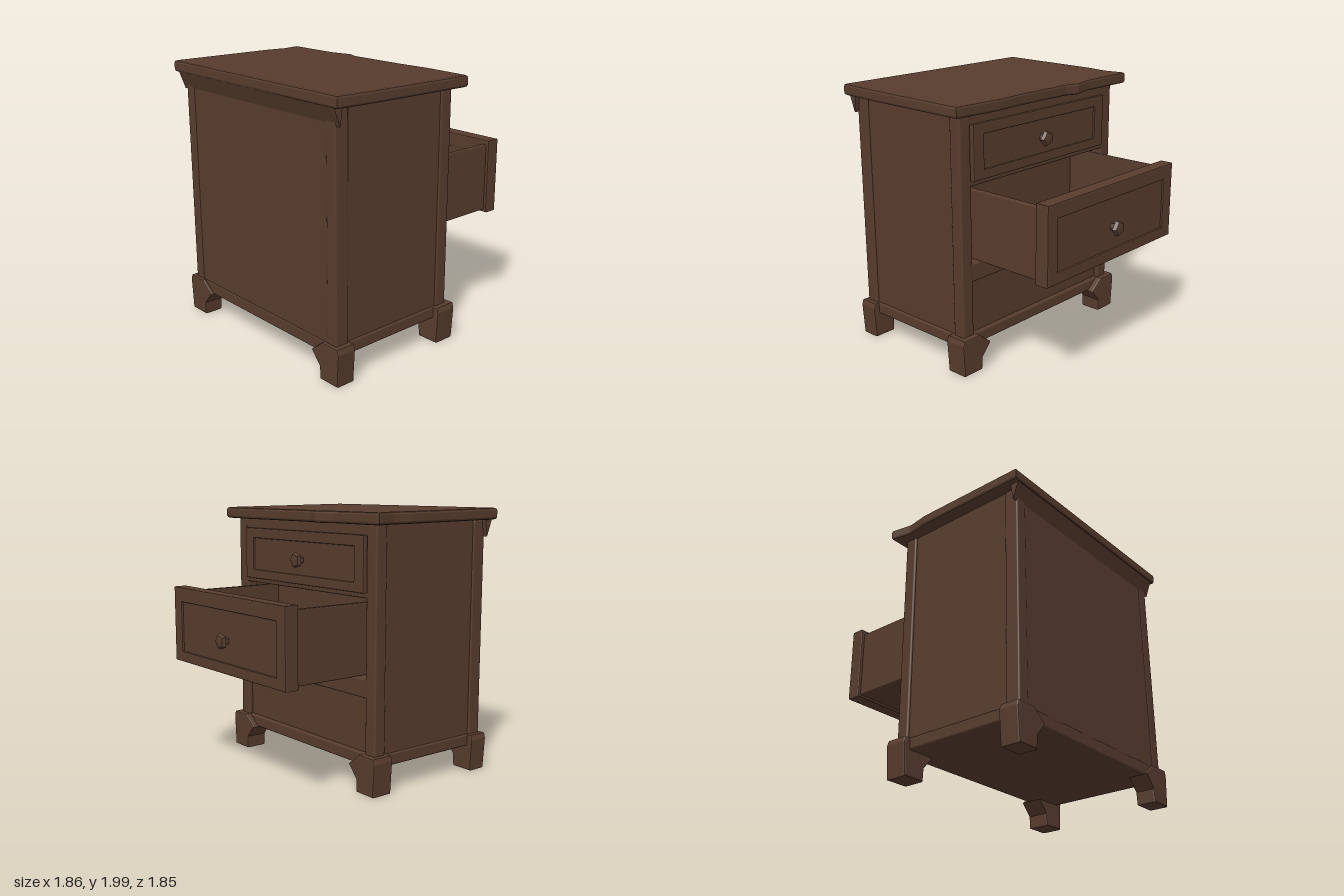
import * as THREE from 'three';
import { RoundedBoxGeometry } from 'three/addons/geometries/RoundedBoxGeometry.js';

const wood = new THREE.MeshStandardMaterial({ color: 0x573c2d });
wood.name = 'darkWood';

export function createModel() {
  const root = new THREE.Group();
  root.name = 'nightstand';

  const add = (name, geometry, parent = root) => {
    const mesh = new THREE.Mesh(geometry, wood);
    mesh.name = name;
    parent.add(mesh);
    return mesh;
  };
  // box from its bounds, with optional softened edges
  const box = (name, x0, x1, y0, y1, z0, z1, r = 0, parent = root) => {
    const s = [x1 - x0, y1 - y0, z1 - z0];
    const g = r ? new RoundedBoxGeometry(...s, 2, r) : new THREE.BoxGeometry(...s);
    g.translate((x0 + x1) / 2, (y0 + y1) / 2, (z0 + z1) / 2);
    return add(name, g, parent);
  };
  const polygon = pts => new THREE.Shape(pts.map(p => new THREE.Vector2(...p)));
  const rectangle = (w, y0, y1) => [[-w, y0], [w, y0], [w, y1], [-w, y1]];

  // worn table top, slightly tilted, with a bulge on the front edge
  const outline = [[-0.91, -0.89], [-0.07, -0.9], [0.09, -0.88], [0.235, -0.91], [0.235, -0.47],
    [0.275, -0.3], [0.24, -0.2], [0.24, 0.3], [0.255, 0.55], [0.235, 0.9], [-0.6, 0.9], [-0.91, 0.89]];
  const slab = new THREE.ExtrudeGeometry(polygon(outline.map(([x, z]) => [x, -z])),
    { depth: 0.05, bevelThickness: 0.018, bevelSize: 0.02, bevelSegments: 2 });
  slab.rotateX(-Math.PI / 2);
  slab.rotateZ(-0.01);
  slab.translate(0, 1.923, 0);
  add('tableTop', slab);

  // sloped moulding under the back of the top
  const cove = new THREE.ExtrudeGeometry(polygon([[-0.92, 1.92], [-0.87, 1.79], [-0.85, 1.92]]),
    { depth: 1.74, bevelEnabled: false });
  cove.translate(0, 0, -0.87);
  add('backMoulding', cove);

  // carcass: recessed panels
  for (const s of [-1, 1]) {
    const z = s * 0.8;
    box('sidePanel', -0.86, 0.16, 0.21, 1.91, z - 0.02, z + 0.02);
    // posts and rails framing each side
    const f = s * 0.8;
    box('frontPost', 0.09, 0.19, 0.2, 1.91, Math.min(s * 0.73, s * 0.835), Math.max(s * 0.73, s * 0.835), 0.015);
    box('backPost', -0.88, -0.77, 0.2, 1.91, Math.min(s * 0.74, s * 0.835), Math.max(s * 0.74, s * 0.835), 0.012);
    box('sideRail', -0.87, 0.18, 0.2, 0.29, f - 0.035, f + 0.035, 0.015);
  }
  box('backPanel', -0.875, -0.84, 0.21, 1.91, -0.8, 0.8);
  box('bottomPanel', -0.86, 0.17, 0.2, 0.27, -0.8, 0.8);
  box('backRail', -0.882, -0.8, 0.2, 0.29, -0.82, 0.82, 0.012);
  box('lowerFrontPanel', 0.11, 0.155, 0.26, 0.72, -0.75, 0.75);

  // front rails between the openings
  for (const [y0, y1] of [[0.2, 0.29], [0.69, 0.83], [1.395, 1.44], [1.82, 1.91]]) {
    box('frontRail', 0.05, 0.187, y0, y1, -0.75, 0.75, 0.015);
  }

  // bracket feet, flared toward the middle
  const footProfile = [[0.86, 0.02], [0.875, 0.25], [0.865, 0.28], [0.72, 0.28],
    [0.62, 0.2], [0.7, 0.11], [0.705, 0.02]];
  for (const s of [-1, 1]) {
    for (const [front, depth] of [[0.225, 0.15], [-0.765, 0.13]]) {
      const g = new THREE.ExtrudeGeometry(polygon(footProfile.map(([z, y]) => [s * z, y])),
        { depth, bevelThickness: 0.012, bevelSize: 0.01, bevelSegments: 2 });
      g.rotateY(-Math.PI / 2);
      g.translate(front, 0, 0);
      add('foot', g);
    }
  }

  // framed drawer front with a sunken panel
  const drawerFront = (parent, x0, x1, y0, y1, inset) => {
    const bevel = 0.01;
    const shape = polygon(rectangle(0.72 - bevel, y0 + bevel, y1 - bevel));
    shape.holes.push(new THREE.Path(rectangle(0.615 + bevel, inset[0] - bevel, inset[1] + bevel)
      .reverse().map(p => new THREE.Vector2(...p))));
    const g = new THREE.ExtrudeGeometry(shape, { depth: x1 - x0 - 2 * bevel,
      bevelThickness: bevel, bevelSize: bevel, bevelSegments: 2 });
    g.rotateY(Math.PI / 2);
    g.translate(x0 + bevel, 0, 0);
    add('drawerFrame', g, parent);
    box('drawerInset', x0 + 0.004, x1 - 0.016, inset[0] - 0.02, inset[1] + 0.02, -0.64, 0.64, 0, parent);
  };
  // faceted knob
  const knob = (parent, x, y) => {
    const profile = [[0.03, -0.02], [0.03, 0.012], [0.062, 0.03], [0.05, 0.056], [0, 0.062]];
    const g = new THREE.LatheGeometry(profile.map(p => new THREE.Vector2(...p)), 5).toNonIndexed();
    g.computeVertexNormals();
    g.rotateZ(-Math.PI / 2);
    g.translate(x, y, 0);
    add('knob', g, parent);
  };

  // closed upper drawer
  const upper = new THREE.Group();
  upper.name = 'upperDrawer';
  root.add(upper);
  drawerFront(upper, 0.15, 0.208, 1.43, 1.83, [1.5, 1.75]);
  knob(upper, 0.205, 1.615);

  // open middle drawer with a hollow box
  const middle = new THREE.Group();
  middle.name = 'openDrawer';
  root.add(middle);
  drawerFront(middle, 0.76, 0.87, 0.83, 1.4, [0.91, 1.29]);
  knob(middle, 0.868, 1.075);
  for (const s of [-1, 1]) {
    const z = s * 0.675;
    box('drawerSide', -0.1, 0.78, 0.85, 1.365, z - 0.022, z + 0.022, 0.008, middle);
  }
  box('drawerBottom', -0.1, 0.78, 0.85, 0.9, -0.67, 0.67, 0, middle);
  box('drawerBack', -0.1, -0.06, 0.86, 1.36, -0.67, 0.67, 0, middle);

  return root;
}
